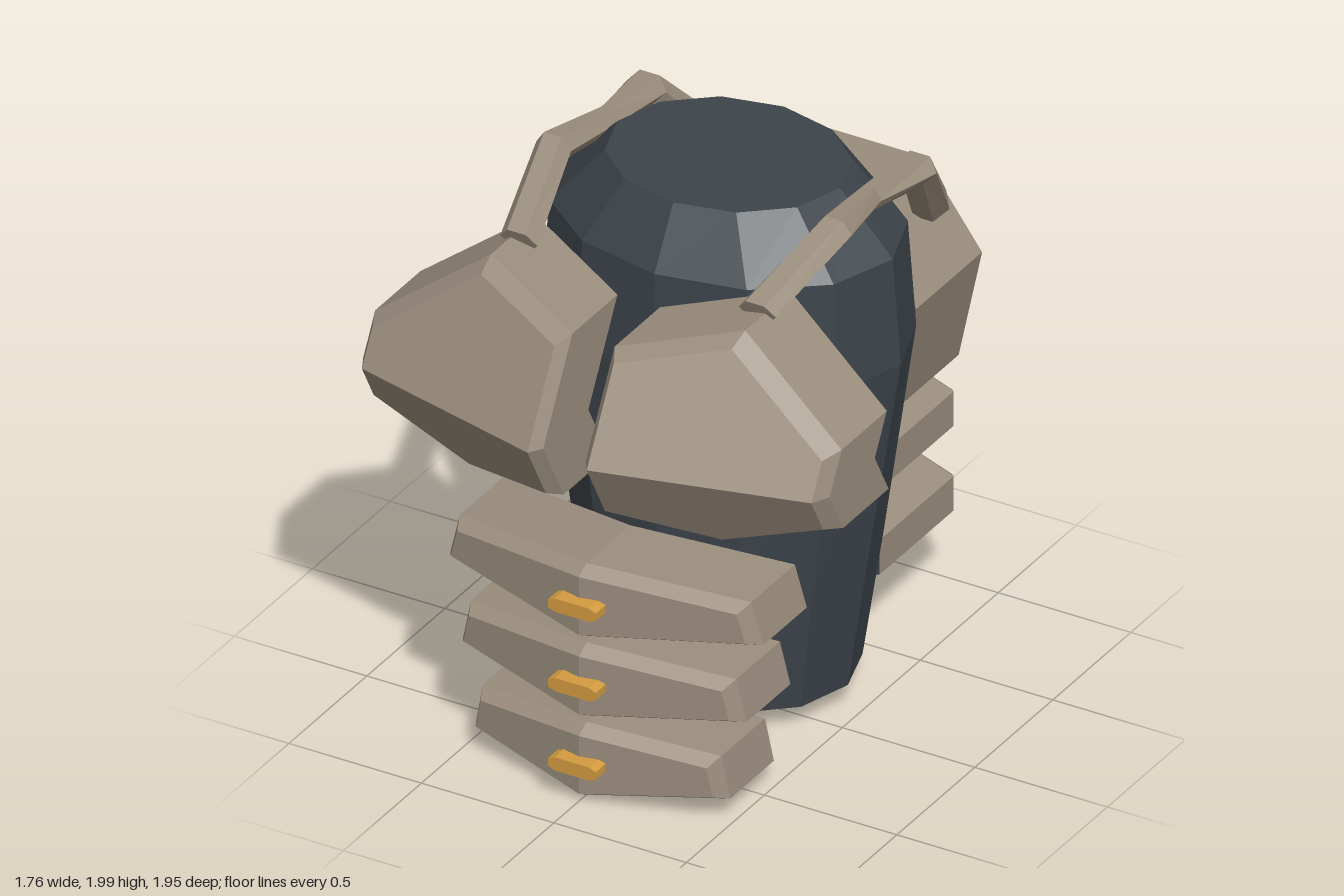
import * as THREE from 'three';

const armour = new THREE.MeshStandardMaterial({ color: 0x9a8d7d, flatShading: true, name: 'taupe armour' });
const dark = new THREE.MeshStandardMaterial({ color: 0x3c444a, flatShading: true, name: 'dark undersuit' });
const gold = new THREE.MeshStandardMaterial({ color: 0xd39b3f, flatShading: true, name: 'gold trim' });

// Closed loft through rings of equal length; group 0 = sides + end cap, group 1 = start cap
function loft(rings) {
  const tris = [], n = rings[0].length, last = rings.length - 1;
  for (let r = 0; r < last; r++) {
    for (let i = 0; i < n; i++) {
      const j = (i + 1) % n;
      const a = rings[r][i], b = rings[r][j], c = rings[r + 1][j], d = rings[r + 1][i];
      tris.push([a, b, c], [a, c, d]);
    }
  }
  for (let i = 1; i < n - 1; i++) tris.push([rings[last][0], rings[last][i], rings[last][i + 1]]);
  const split = tris.length * 3;
  for (let i = 1; i < n - 1; i++) tris.push([rings[0][0], rings[0][i + 1], rings[0][i]]);
  // Turn all faces outward, whatever the ring direction
  const origin = rings[0][0], u = new THREE.Vector3(), v = new THREE.Vector3(), w = new THREE.Vector3();
  let volume = 0;
  for (const [a, b, c] of tris) {
    volume += u.subVectors(a, origin).dot(v.subVectors(b, origin).cross(w.subVectors(c, origin)));
  }
  const points = tris.flatMap(([a, b, c]) => (volume < 0 ? [a, c, b] : [a, b, c]));
  const geo = new THREE.BufferGeometry().setFromPoints(points);
  geo.addGroup(0, split, 0);
  geo.addGroup(split, points.length - split, 1);
  geo.computeVertexNormals();
  return geo;
}

// Shrinks a 2D outline by d along its mitred corners
function inset(outline, d) {
  const pts = outline.map(([x, y]) => new THREE.Vector2(x, y));
  const sign = THREE.ShapeUtils.area(pts) > 0 ? 1 : -1;
  const normal = (a, b) => new THREE.Vector2(a.y - b.y, b.x - a.x).normalize().multiplyScalar(sign);
  return pts.map((p, i) => {
    const n1 = normal(pts[(i + pts.length - 1) % pts.length], p);
    const n2 = normal(p, pts[(i + 1) % pts.length]);
    const m = n1.clone().add(n2).multiplyScalar(d / (1 + n1.dot(n2)));
    return [p.x + m.x, p.y + m.y];
  });
}

// Bevelled armour plate with a dark lining; face and inner give depth along dir * z
function plate(name, outline, { face, inner, dir = 1, side = 1, bevel = 0.05, edge = 0.028 }) {
  const ring = (pts, depth) => pts.map(([x, y]) => new THREE.Vector3(side * x, y, dir * depth(x, y)));
  const mesh = new THREE.Mesh(loft([
    ring(outline, inner),
    ring(outline, (x, y) => face(x, y) - bevel),
    ring(inset(outline, edge), face),
  ]), [armour, dark]);
  mesh.name = name;
  return mesh;
}

// Six-sided strap following a path; each stop is [x, y, z, half width, half thickness]
function strap(name, path, side) {
  const at = (i) => new THREE.Vector2(path[i][2], path[i][1]);
  const rings = path.map(([x, y, z, w, t], i) => {
    const before = at(Math.max(i - 1, 0)), here = at(i), after = at(Math.min(i + 1, path.length - 1));
    const dir = here.clone().sub(before).normalize().add(after.clone().sub(here).normalize()).normalize();
    return Array.from({ length: 6 }, (_, k) => {
      const a = (k * Math.PI) / 3, s = Math.sin(a) * t * 1.1;
      return new THREE.Vector3(side * (x + Math.cos(a) * w), y - dir.x * s, z + dir.y * s);
    });
  });
  const mesh = new THREE.Mesh(loft(rings), [armour, armour]);
  mesh.name = name;
  return mesh;
}

export function createModel() {
  const model = new THREE.Group();
  model.name = 'torsoArmour';

  // Twelve-sided torso: [y, half width, half depth]
  const torsoRings = [
    [0.09, 0.45, 0.395], [0.55, 0.52, 0.455], [1.36, 0.65, 0.495], [1.75, 0.62, 0.475], [1.96, 0.42, 0.355],
  ].map(([y, rx, rz]) => Array.from({ length: 12 }, (_, i) => {
    const a = (i * Math.PI) / 6;
    return new THREE.Vector3(Math.sin(a) * rx, y, -0.12 + Math.cos(a) * rz);
  }));
  const torso = new THREE.Mesh(loft(torsoRings), [dark, dark]);
  torso.name = 'torso';
  model.add(torso);

  // Chest plates, creased across the middle
  const chestOutline = [
    [0.08, 1.36], [0.08, 1.7], [0.48, 1.8], [0.88, 1.5], [0.88, 1.36], [0.88, 1.2], [0.48, 1.05], [0.08, 1.12],
  ];
  const chestFace = (x, y) => 0.98 - 0.257 * (x - 0.11) - 0.55 * Math.abs(y - 1.36);

  // Shoulder straps, pinched over the top of the shoulder
  const strapPath = [
    [0.45, 1.795, 0.46, 0.07, 0.045], [0.53, 1.945, 0.1, 0.065, 0.05], [0.495, 1.915, -0.18, 0.045, 0.04],
    [0.51, 1.89, -0.46, 0.075, 0.05], [0.4, 1.585, -0.73, 0.075, 0.06],
  ];
  for (const [label, side] of [['left', 1], ['right', -1]]) {
    model.add(plate(`${label}ChestPlate`, chestOutline, {
      face: chestFace, inner: (x, y) => chestFace(x, y) - 0.345, bevel: 0.055, edge: 0.032, side,
    }));
    model.add(strap(`${label}ShoulderStrap`, strapPath, side));
  }

  // Bowed belly plates with a gold stud each
  const studShape = new THREE.Shape([
    [-0.09, -0.014], [-0.065, -0.025], [0.065, -0.025], [0.09, -0.014],
    [0.09, 0.014], [0.065, 0.025], [-0.065, 0.025], [-0.09, 0.014],
  ].map(([x, y]) => new THREE.Vector2(x, y)));
  const studGeo = new THREE.ExtrudeGeometry(studShape, { depth: 0.075, bevelEnabled: false });
  for (let i = 0; i < 3; i++) {
    const y = 0.75 - 0.3 * i, top = 0.55 - 0.05 * i, low = 0.59 - 0.055 * i;
    const outline = [[0, y + 0.13], [top, y + 0.085], [low, y - 0.07], [0, y - 0.145], [-low, y - 0.07], [-top, y + 0.085]];
    model.add(plate(`bellyPlate${i + 1}`, outline, {
      face: (x) => 0.84 - 0.22 * Math.abs(x), inner: (x) => 0.51 - 0.22 * Math.abs(x),
    }));
    const stud = new THREE.Mesh(studGeo, gold);
    stud.name = `bellyStud${i + 1}`;
    stud.position.set(0, y, 0.81);
    model.add(stud);
  }

  // Large upper back plate
  const backHalf = [[0.3, 1.66], [0.53, 1.38], [0.42, 0.94], [0.32, 0.88]];
  const mirrored = (half) => [...half, ...half.map(([x, y]) => [-x, y]).reverse()];
  model.add(plate('upperBackPlate', mirrored(backHalf), {
    face: (x, y) => 0.95 - 0.045 * (y - 0.94) - 0.15 * Math.max(0, Math.abs(x) - 0.3),
    inner: (x, y) => 0.42 + 0.45 * Math.max(0, y - 1.38),
    dir: -1, edge: 0.06,
  }));

  // Two lower back plates
  [0.69, 0.37].forEach((y, i) => {
    const half = [[0.2, y + 0.13], [0.37, y + 0.07], [0.37, y - 0.06], [0.2, y - 0.13]];
    model.add(plate(`lowerBackPlate${i + 1}`, mirrored(half), {
      face: () => 0.975, inner: () => 0.46, dir: -1, bevel: 0.04, edge: 0.03,
    }));
  });

  return model;
}
